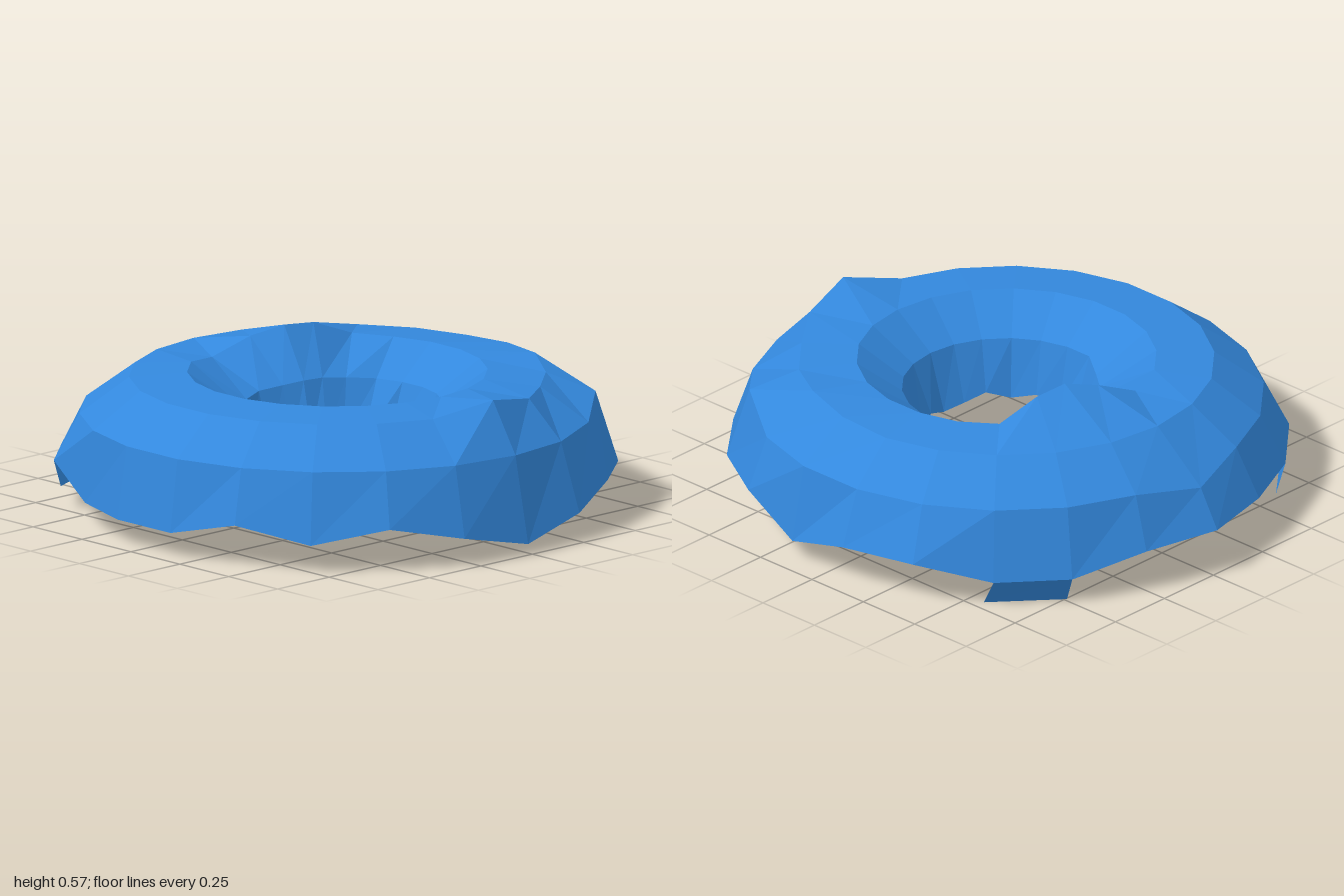
import * as THREE from 'three';

const SEGMENTS = 22;

// A closed ring of points: regular radius and height, with {index: [radius, height]} exceptions
function makeRing(radius, height, exceptions = {}) {
  return Array.from({ length: SEGMENTS }, (_, k) => {
    const a = ((k + 0.5) / SEGMENTS) * Math.PI * 2;
    const [r, y] = exceptions[k] ?? [
      Array.isArray(radius) ? radius[k] : radius,
      Array.isArray(height) ? height[k] : height,
    ];
    return new THREE.Vector3(0.025 + r * Math.sin(a), y, 0.02 + r * Math.cos(a));
  });
}

// Faceted surface from a list of quads, each with corners in counter-clockwise order
function quadMesh(name, quads, material) {
  const points = quads.flatMap(([a, b, c, d]) => [a, b, c, a, c, d]);
  const geometry = new THREE.BufferGeometry().setFromPoints(points);
  geometry.computeVertexNormals();
  const mesh = new THREE.Mesh(geometry, material);
  mesh.name = name;
  return mesh;
}

export function createModel() {
  const group = new THREE.Group();
  group.name = 'icing';
  const material = new THREE.MeshStandardMaterial({
    color: 0x3388dd, flatShading: true, side: THREE.DoubleSide,
  });

  // Wavy outer edge
  const outerEdge = makeRing(
    [0.95, 0.97, 0.98, 0.98, 0.98, 0.975, 0.985, 0.98, 0.99, 0.98, 0.96,
      0.995, 1.01, 0.98, 0.98, 0.985, 1.025, 1, 1, 1, 0.94, 0.95],
    [0.09, 0.155, 0.1, 0.155, 0.1, 0.04, 0.1, 0.155, 0.155, 0.155, 0.07,
      0.155, 0.16, 0.1, 0.1, 0.16, 0.17, 0.17, 0.17, 0.18, 0.09, 0.09]);

  // Wavy edge around the hole, hanging lower at one drip
  const innerEdge = makeRing(
    [0.32, 0.32, 0.32, 0.31, 0.3, 0.305, 0.3, 0.3, 0.29, 0.29, 0.285,
      0.29, 0.25, 0.23, 0.2, 0.2, 0.23, 0.27, 0.3, 0.3, 0.23, 0.3],
    [0.17, 0.19, 0.17, 0.2, 0.18, 0.17, 0.2, 0.18, 0.17, 0.19, 0.18,
      0.17, 0.19, 0.2, 0.2, 0.2, 0.19, 0.18, 0.16, 0.1, 0.1, 0.17]);

  const rings = [
    outerEdge,
    makeRing(0.91, 0.35, { 7: [0.91, 0.36], 8: [0.91, 0.41], 16: [0.945, 0.31] }),
    makeRing(0.735, 0.48, {
      5: [0.795, 0.53], 6: [0.78, 0.49], 9: [0.735, 0.5], 10: [0.735, 0.49],
    }),
    makeRing(0.53, 0.495, {
      13: [0.53, 0.5], 14: [0.45, 0.56], 15: [0.41, 0.57], 16: [0.445, 0.54], 17: [0.51, 0.48],
    }),
    makeRing(0.37, 0.38, {
      13: [0.32, 0.39], 14: [0.28, 0.4], 15: [0.26, 0.4], 16: [0.28, 0.39],
      17: [0.32, 0.38], 18: [0.33, 0.37], 19: [0.33, 0.36], 20: [0.34, 0.36],
    }),
    innerEdge,
  ];

  // Glaze shell: quads joining each ring to the next
  const shell = [];
  for (let i = 0; i < rings.length - 1; i++) {
    for (let k = 0; k < SEGMENTS; k++) {
      const n = (k + 1) % SEGMENTS;
      shell.push([rings[i][k], rings[i][n], rings[i + 1][n], rings[i + 1][k]]);
    }
  }
  group.add(quadMesh('glazeShell', shell, material));

  // Drips hanging from single segments of the outer edge
  const drip = (name, k, p, q) => group.add(quadMesh(name, [
    [new THREE.Vector3(...p), new THREE.Vector3(...q), outerEdge[k + 1], outerEdge[k]],
  ], material));
  drip('backDrip', 13, [-0.56, 0, -0.71], [-0.755, 0, -0.49]);
  drip('frontDrip', 18, [-0.78, 0.04, 0.55], [-0.6, 0.09, 0.77]);

  return group;
}
